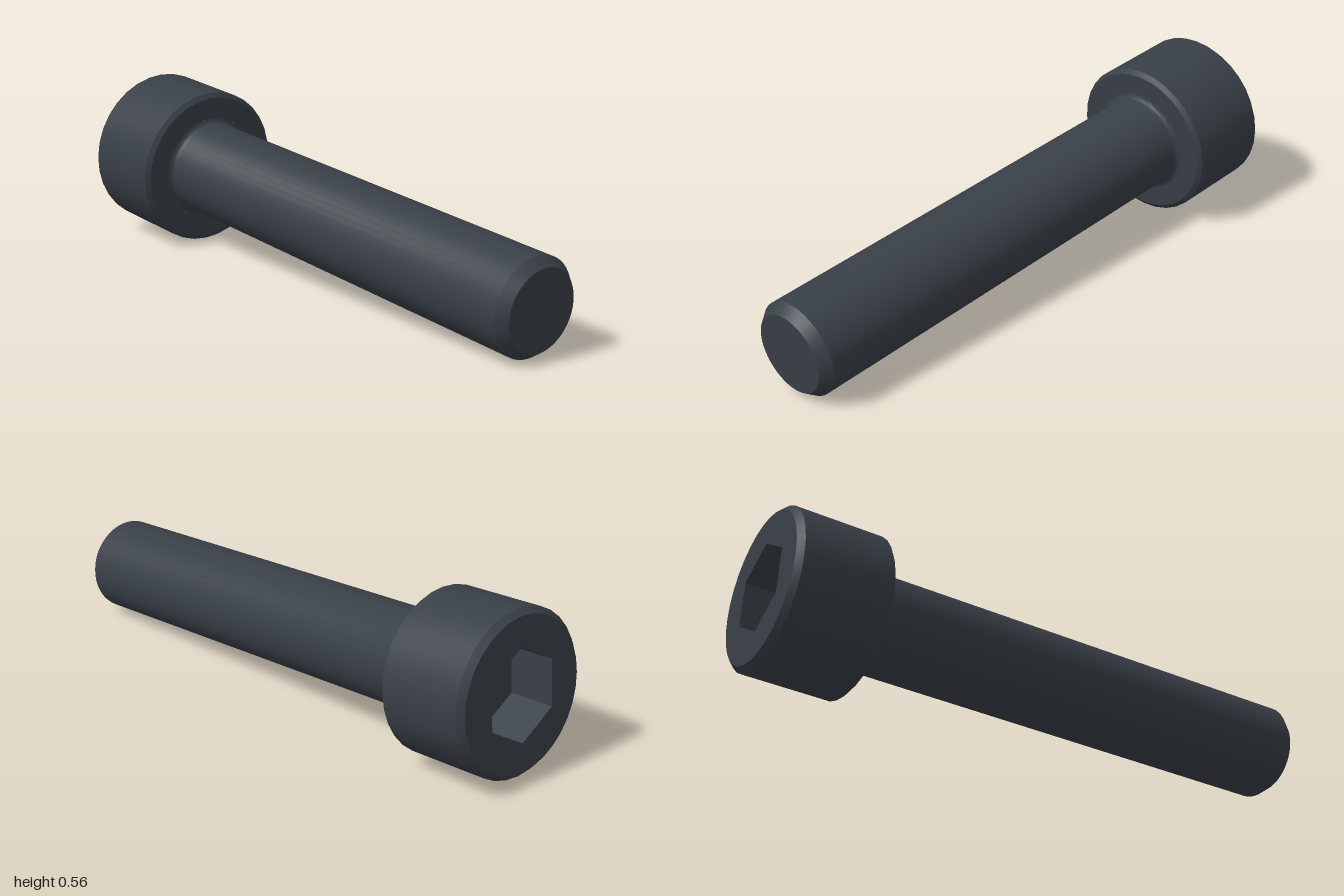
import * as THREE from 'three';
import { toCreasedNormals } from 'three/addons/utils/BufferGeometryUtils.js';

const LENGTH = 1.96, HEAD_H = 0.33, HEAD_R = 0.271, FACE_R = 0.252;
const SHANK_R = 0.162, HEX_R = 0.156, HEX_DEPTH = 0.162;

export function createModel() {
  const steel = new THREE.MeshStandardMaterial({ color: 0x383f46 });
  steel.name = 'dark steel';
  const bolt = new THREE.Group();
  bolt.name = 'socketHeadBolt';

  const add = (name, geometry) => {
    const mesh = new THREE.Mesh(geometry, steel);
    mesh.name = name;
    bolt.add(mesh);
  };
  const turned = (profile, segments) => toCreasedNormals(
    new THREE.LatheGeometry(profile.map(([r, y]) => new THREE.Vector2(r, y)), segments), 0.45);

  // Head: chamfered rims and the flat seat below, axis along local y
  add('head', turned([
    [FACE_R, 0], [HEAD_R, 0.02], [HEAD_R, HEAD_H - 0.012],
    [0.255, HEAD_H], [SHANK_R + 0.02, HEAD_H],
  ], 32));

  // Shank: small fillet under the head, chamfered tip
  const shank = [];
  for (let i = 0; i <= 4; i++) {
    const a = (i / 4) * Math.PI / 2;
    shank.push([SHANK_R + 0.02 * (1 - Math.sin(a)), HEAD_H + 0.02 * (1 - Math.cos(a))]);
  }
  shank.push([SHANK_R, LENGTH - 0.035], [0.135, LENGTH], [0, LENGTH]);
  add('shank', turned(shank, 48));

  // Head face with a hexagonal opening
  const ring = (radius, sides) => Array.from({ length: sides }, (_, i) => {
    const a = (i / sides) * Math.PI * 2;
    return new THREE.Vector2(radius * Math.cos(a), radius * Math.sin(a));
  });
  const face = new THREE.Shape(ring(FACE_R, 32));
  face.holes.push(new THREE.Path(ring(HEX_R, 6)));
  add('headFace', new THREE.ShapeGeometry(face).rotateX(Math.PI / 2));

  // Socket: inward-facing walls and floor
  const walls = new THREE.CylinderGeometry(HEX_R, HEX_R, HEX_DEPTH, 6, 1, true)
    .rotateY(Math.PI / 2).translate(0, HEX_DEPTH / 2, 0).scale(-1, 1, 1).toNonIndexed();
  walls.computeVertexNormals();
  add('socketWalls', walls);
  add('socketFloor', new THREE.CircleGeometry(HEX_R, 6)
    .rotateX(Math.PI / 2).translate(0, HEX_DEPTH, 0));

  // Lay the bolt down: head raised at -x, tip turned towards the front
  const axis = new THREE.Vector3(0.976, -0.0674, 0.2064).normalize();
  const up = new THREE.Vector3(0, 1, 0).addScaledVector(axis, -axis.y).normalize();
  const side = new THREE.Vector3().crossVectors(up, axis);
  bolt.quaternion.setFromRotationMatrix(new THREE.Matrix4().makeBasis(up, axis, side));
  bolt.position.set(-0.942, 0.296, -0.145);

  const model = new THREE.Group();
  model.name = 'model';
  model.add(bolt);
  return model;
}
